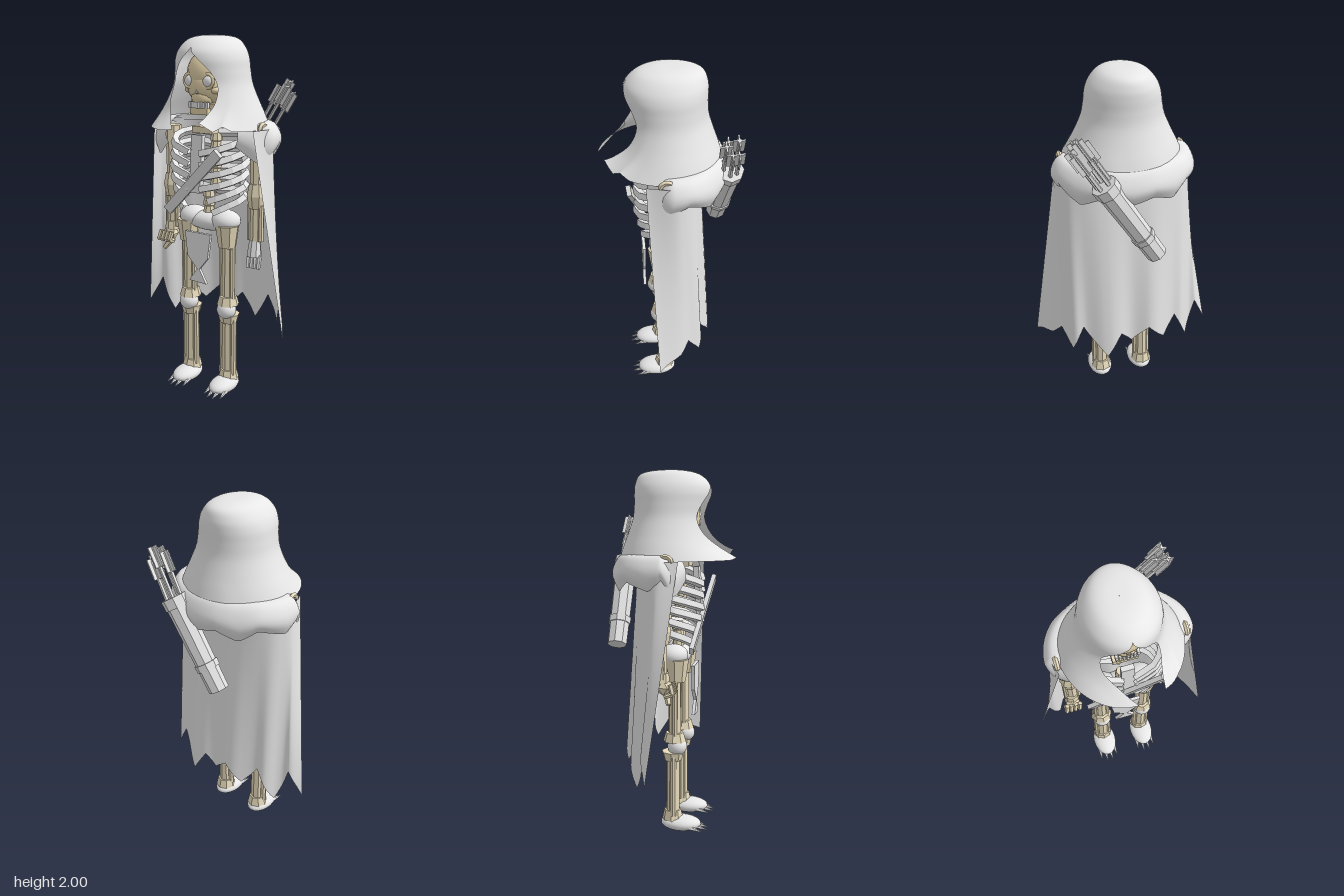
import * as THREE from 'three';
import { toCreasedNormals } from 'three/addons/utils/BufferGeometryUtils.js';

const mat = (name, color, side = THREE.FrontSide) => {
  const m = new THREE.MeshStandardMaterial({ color, side });
  m.name = name;
  return m;
};
const V = (x, y, z) => new THREE.Vector3(x, y, z);
const flat = g => toCreasedNormals(g, 0.01);
const lerp = THREE.MathUtils.lerp;

// evenly spaced table rows, read smoothly at v in 0..1
function smoothRow(rows, v) {
  const n = rows.length - 1, s = Math.min(v * n, n - 1e-6), i = Math.floor(s), t = s - i;
  const at = k => rows[THREE.MathUtils.clamp(k, 0, n)];
  return rows[i].map((b, j) => {
    const a = at(i - 1)[j], c = at(i + 1)[j], d = at(i + 2)[j];
    return b + 0.5 * t * (c - a + t * (2 * a - 5 * b + 4 * c - d + t * (3 * (b - c) + d - a)));
  });
}
// straight-line reading of [key, value] pairs with rising keys
function linear(pairs, k) {
  let i = 0;
  while (i < pairs.length - 2 && pairs[i + 1][0] < k) i++;
  const [a, b] = [pairs[i], pairs[i + 1]];
  return lerp(a[1], b[1], (k - a[0]) / (b[0] - a[0]));
}

// bent sheet: f(u, v) gives a point, u and v run 0..1
function sheet(nu, nv, f) {
  const g = new THREE.PlaneGeometry(1, 1, nu, nv), p = g.attributes.position;
  for (let i = 0; i < p.count; i++) {
    const q = f(p.getX(i) + 0.5, 0.5 - p.getY(i));
    p.setXYZ(i, q.x, q.y, q.z);
  }
  g.computeVertexNormals();
  return g;
}

export function createModel() {
  const model = new THREE.Group();
  model.name = 'hoodedSkeletonArcher';
  const cloth = mat('paleCloth', 0xe8e8e8, THREE.DoubleSide);
  const white = mat('paleBone', 0xe6e6e6);
  const bone = mat('tanBone', 0xe6dabb);
  const skull = mat('skullBone', 0xe2d1a9);
  const grey = mat('greyLeather', 0xe0e0e0);

  const add = (name, g, m, x = 0, y = 0, z = 0) => {
    const o = new THREE.Mesh(g, m);
    o.name = name;
    o.position.set(x, y, z);
    model.add(o);
    return o;
  };
  const box = (name, m, w, h, d, x, y, z) => add(name, new THREE.BoxGeometry(w, h, d), m, x, y, z);
  const ball = (name, m, x, y, z, rx, ry, rz) => {
    const o = add(name, new THREE.SphereGeometry(1, 20, 14), m, x, y, z);
    o.scale.set(rx, ry, rz);
    return o;
  };
  // faceted prism from a to b
  const limb = (name, m, a, b, ra, rb, n = 6) => {
    const d = b.clone().sub(a);
    const o = add(name, flat(new THREE.CylinderGeometry(rb, ra, d.length(), n)), m);
    o.position.copy(a).addScaledVector(d, 0.5);
    o.quaternion.setFromUnitVectors(V(0, 1, 0), d.normalize());
    return o;
  };
  const cuff = (name, x, y0, y1, z, ra, rb) => limb(name, bone, V(x, y0, z), V(x, y1, z), ra, rb, 8);
  // core prism with a slim rod on each side
  const shaft = (name, x, y0, y1, z, r) => {
    cuff(name, x, y0, y1, z, r * 0.78, r * 0.72);
    for (const s of [-1, 1]) cuff(name + 'Rod', x + s * r * 0.72, y0, y1, z + 0.008, r * 0.4, r * 0.36);
  };

  // hood: y, half width, front depth, back depth, opening angle at -x and +x
  const hoodRows = [
    [2.0, 0.001, 0.001, 0.001, 0, 0], [1.997, 0.07, 0.08, 0.1, 0, 0], [1.977, 0.125, 0.155, 0.17, 0, 0],
    [1.93, 0.168, 0.208, 0.195, 0.02, 0.02], [1.88, 0.19, 0.222, 0.2, 0.27, 0.27], [1.82, 0.2, 0.215, 0.2, 0.54, 0.54],
    [1.75, 0.215, 0.21, 0.207, 0.68, 0.68], [1.67, 0.25, 0.235, 0.233, 0.58, 0.62], [1.6, 0.286, 0.28, 0.262, 0.3, 0.5],
    [1.53, 0.32, 0.36, 0.29, 0.02, 0.42]];
  const hoodHem = [[0, 0.05], [0.04, 0], [0.06, 0.03], [0.09, 0], [0.25, -0.01], [0.4, 0], [0.45, -0.02], [0.55, 0],
    [0.6, -0.015], [0.75, 0], [0.95, 0], [1, 0.01]];
  add('hood', sheet(80, 54, (u, v) => {
    const [y, rx, zf, zb, oR, oL] = smoothRow(hoodRows, v);
    const a = lerp(oL, 2 * Math.PI - oR, u), c = Math.cos(a);
    const hem = v ** 8 * (linear(hoodHem, u) - 0.03 * Math.max(0, -c));
    return V(rx * Math.sin(a), y + hem, c * (c > 0 ? zf : zb));
  }), cloth);

  // shoulder mantle: y, half width, back depth, front depth
  const mantleRows = [[1.56, 0.25, 0.19, 0.06], [1.555, 0.335, 0.265, 0.1], [1.5, 0.378, 0.305, 0.14],
    [1.44, 0.385, 0.318, 0.155], [1.38, 0.36, 0.29, 0.15]];
  const mantleHem = [[0, 0.05], [0.06, -0.02], [0.11, -0.03], [0.16, 0.06], [0.22, 0], [0.32, 0.04], [0.38, -0.02], [0.45, 0.02],
    [0.52, -0.01], [0.6, 0.03], [0.67, -0.02], [0.76, 0.04], [0.84, 0], [0.92, -0.02], [1, 0.06]];
  add('shoulderMantle', sheet(80, 16, (u, v) => {
    const [y, rx, zb, zf] = smoothRow(mantleRows, v), a = (u - 0.5) * 5, c = Math.cos(a);
    return V(rx * Math.sin(a), y + v * v * linear(mantleHem, u), -c * (c > 0 ? zb : zf));
  }), cloth);

  // long cape with folds and a jagged hem
  const curve = pts => new THREE.CatmullRomCurve3(pts.map(([x, z]) => V(x, 0, z)));
  const capeTop = curve([[-0.33, 0.1], [-0.355, -0.02], [-0.26, -0.12], [0, -0.16], [0.26, -0.12], [0.355, -0.02], [0.33, 0.135]]);
  const capeBottom = curve([[-0.51, -0.04], [-0.4, -0.09], [-0.26, -0.18], [0, -0.22], [0.26, -0.18], [0.39, -0.09], [0.51, 0.09]]);
  const capeHem = [[0, 0.38], [0.12, 0.54], [0.21, 0.33], [0.32, 0.53], [0.38, 0.42], [0.44, 0.52], [0.5, 0.43], [0.54, 0.5],
    [0.59, 0.36], [0.68, 0.55], [0.76, 0.4], [0.83, 0.52], [0.89, 0.46], [0.95, 0.44], [1, 0.41]];
  add('cape', sheet(100, 24, (u, v) => {
    const p = capeTop.getPoint(u).lerp(capeBottom.getPoint(u), v);
    p.y = lerp(1.53, linear(capeHem, u), v);
    p.z += 0.02 * v * Math.cos(u * Math.PI * 12) * Math.sin(u * Math.PI);
    return p;
  }), cloth);

  // skull
  ball('cranium', skull, 0, 1.805, 0.03, 0.12, 0.125, 0.13);
  ball('face', skull, 0, 1.745, 0.06, 0.11, 0.105, 0.1);
  ball('muzzle', skull, 0, 1.685, 0.1, 0.062, 0.055, 0.055);
  add('jaw', flat(new THREE.CylinderGeometry(0.108, 0.085, 0.055, 12)), skull, 0, 1.625, 0.035);
  box('chin', skull, 0.11, 0.045, 0.05, 0, 1.617, 0.115);
  for (const s of [-1, 1]) {
    ball('cheekbone', skull, s * 0.08, 1.722, 0.1, 0.03, 0.02, 0.03);
    add('eyeSocket', new THREE.TorusGeometry(0.036, 0.009, 6, 16), skull, s * 0.056, 1.77, 0.138);
    ball('eyeball', white, s * 0.056, 1.768, 0.132, 0.034, 0.031, 0.024);
    const jawSide = box('jawSide', skull, 0.025, 0.09, 0.05, s * 0.095, 1.66, 0.03);
    jawSide.rotation.z = s * 0.15;
  }
  add('noseHole', new THREE.CylinderGeometry(0.013, 0.013, 0.009, 3).rotateX(-Math.PI / 2), grey, 0, 1.712, 0.156);
  for (let i = -3; i <= 3; i++) box('tooth', white, 0.014, 0.032, 0.02, i * 0.018, 1.645, 0.146 - 0.004 * Math.abs(i));

  // spine, collar and rib cage
  for (let i = 0; i < 12; i++)
    cuff('vertebra', 0, 1.04 + i * 0.05, 1.085 + i * 0.05, i < 3 ? 0.04 : i > 8 ? 0.02 : -0.03, 0.036, 0.028);
  box('collar', bone, 0.13, 0.035, 0.06, 0, 1.51, 0.08);
  const breast = box('breastbone', white, 0.07, 0.31, 0.03, 0, 1.335, 0.155);
  breast.rotation.x = -0.08;
  for (const s of [-1, 1]) {
    for (let i = 0; i < 6; i++) {
      const y = 1.48 - i * 0.064, w = 0.225 - 0.006 * Math.abs(i - 2), end = i < 4 ? 0.03 : 0.05 + 0.02 * (i - 3);
      const zf = 0.175 - 0.016 * Math.max(0, i - 3);
      const path = new THREE.CatmullRomCurve3([V(0, y, -0.04), V(s * w * 0.7, y + 0.005, -0.06), V(s * w, y - 0.015, 0.03),
        V(s * w * 0.75, y - 0.05, zf - 0.04), V(s * end, y - 0.085, zf)]);
      add('rib', flat(new THREE.TubeGeometry(path, 9, 0.024, 4)), white);
    }
  }

  // pelvis and loincloth
  ball('pelvis', white, 0, 1.0, 0.04, 0.15, 0.055, 0.075);
  for (const s of [-1, 1]) ball('hip', white, s * 0.105, 1.012, 0.035, 0.087, 0.06, 0.08);
  const lc = [[-0.09, 0.95], [-0.075, 0.81], [-0.01, 0.74], [-0.065, 0.665], [0.05, 0.66], [0.005, 0.74], [0.06, 0.81], [0.08, 0.95]];
  const lcShape = new THREE.Shape(lc.map(p => new THREE.Vector2(...p)));
  add('loincloth', new THREE.ExtrudeGeometry(lcShape, { depth: 0.018, bevelEnabled: false }), cloth, 0, 0, 0.13);

  for (const s of [-1, 1]) {
    // legs
    const x = s * 0.13, z = 0.036;
    cuff('thighHead', x, 0.87, 0.995, z + 0.02, 0.05, 0.068);
    shaft('thigh', x, 0.55, 0.92, z + 0.01, 0.045);
    cuff('kneeUpper', x, 0.53, 0.58, z + 0.01, 0.064, 0.05);
    ball('kneecap', white, x, 0.5, z + 0.025, 0.056, 0.052, 0.055);
    cuff('kneeLower', x, 0.42, 0.47, z, 0.05, 0.063);
    shaft('shin', x, 0.1, 0.45, z, 0.05);
    cuff('ankle', x, 0.07, 0.125, z, 0.06, 0.048);
    ball('foot', white, x, 0.048, 0.083, 0.073, 0.043, 0.115);
    for (let i = -1.5; i <= 1.5; i++)
      limb('toeClaw', white, V(x + i * 0.032, 0.04, 0.165 - 0.012 * i * i), V(x + i * 0.036, 0.022, 0.235 - 0.012 * i * i), 0.016, 0.002, 5);

    // arms
    const ax = s * 0.28;
    cuff('shoulder', ax, 1.42, 1.51, 0, 0.048, 0.05);
    cuff('upperArm', ax, 1.2, 1.45, 0, 0.036, 0.04);
    cuff('elbowUpper', ax, 1.17, 1.235, 0, 0.055, 0.042);
    cuff('elbowLower', ax, 1.1, 1.17, 0, 0.042, 0.055);
    shaft('forearm', ax, 0.92, 1.12, 0, 0.045);
    // cloak clasps on the shoulders
    const clasp = add('shoulderClasp', flat(new THREE.TorusGeometry(0.03, 0.013, 5, 10, Math.PI)), bone, s * 0.33, 1.525, 0.035);
    clasp.rotation.y = Math.PI / 2;
  }

  // closed hand at -x, open hand at +x
  cuff('wrist', -0.285, 0.9, 0.95, 0.005, 0.045, 0.04);
  add('fist', flat(new THREE.IcosahedronGeometry(0.048, 0)), bone, -0.29, 0.875, 0.02);
  for (let i = 0; i < 4; i++) {
    const a = V(-0.325 + i * 0.025, 0.895, 0.06), b = V(-0.335 + i * 0.025, 0.845, 0.075);
    limb('curledFinger', bone, a, b, 0.014, 0.013, 5);
    limb('curledFingerTip', bone, b, V(b.x, 0.83, 0.03), 0.013, 0.01, 5);
  }
  limb('thumb', bone, V(-0.27, 0.85, 0.03), V(-0.315, 0.785, 0.05), 0.022, 0.014, 5);
  limb('palm', white, V(0.277, 0.83, 0.012), V(0.277, 0.92, 0.005), 0.042, 0.032, 8);
  for (let i = 0; i < 4; i++) {
    const x = 0.245 + i * 0.022;
    limb('finger', white, V(x, 0.84, 0.012), V(x + 0.002, 0.765, 0.03), 0.014, 0.011, 5);
  }

  // strap, quiver and arrows
  const strap = box('strap', grey, 0.055, 0.53, 0.025, -0.015, 1.235, 0.182);
  strap.rotation.set(0.18, 0, -0.8);
  const q0 = V(-0.11, 1.06, -0.285), q1 = V(0.17, 1.5, -0.3), axis = q1.clone().sub(q0);
  const along = t => q0.clone().addScaledVector(axis, t);
  limb('quiver', grey, q0, q1, 0.055, 0.062, 8);
  limb('quiverBand', grey, along(0.24), along(0.31), 0.063, 0.065, 8);
  limb('quiverRim', grey, along(0.92), along(1.03), 0.068, 0.07, 8);
  [[0, 0.03, 1.52], [0.03, 0, 1.47], [-0.02, -0.03, 1.55], [0.02, -0.035, 1.43], [-0.035, 0.01, 1.45]].forEach(([dx, dz, len]) => {
    const off = V(dx, -dx * 0.6, dz), tip = along(len).add(off).add(V(0, 0, 0.03));
    const feather = tip.clone().lerp(along(0.9).add(off), 0.16);
    const { quaternion } = limb('arrowShaft', grey, along(0.9).add(off), tip, 0.011, 0.011, 5);
    for (const turn of [0, Math.PI / 2]) {
      const f = box('arrowFeather', grey, 0.06, 0.11, 0.008, ...feather);
      f.quaternion.copy(quaternion);
      f.rotateY(turn);
    }
  });
  return model;
}
